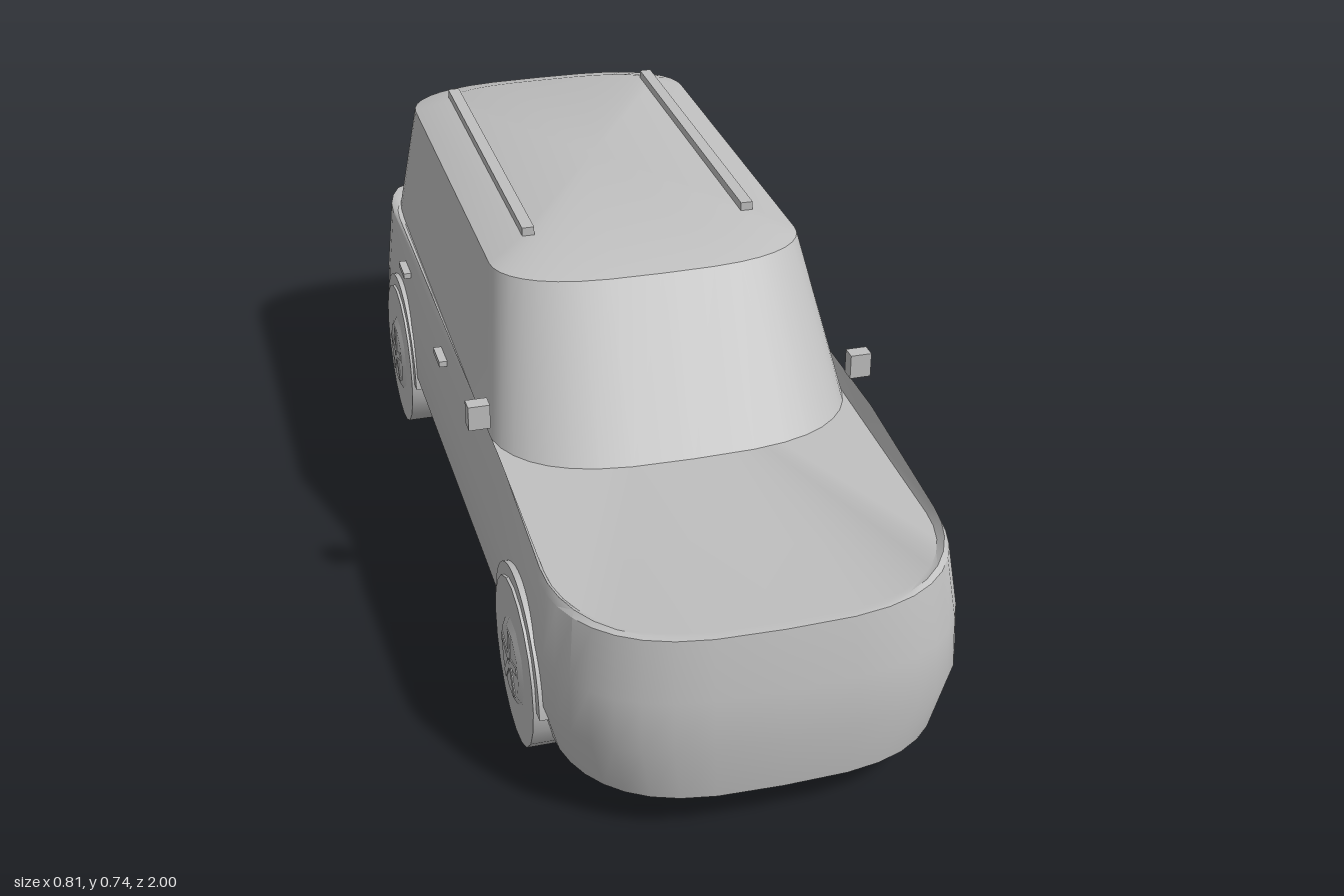
import * as THREE from 'three';
import { toCreasedNormals } from 'three/addons/utils/BufferGeometryUtils.js';

const paint = new THREE.MeshStandardMaterial({ color: 0xbfbfbf });
paint.name = 'plain grey';

function add(parent, name, geometry, x = 0, y = 0, z = 0) {
  const mesh = new THREE.Mesh(geometry, paint);
  mesh.name = name;
  mesh.position.set(x, y, z);
  parent.add(mesh);
  return mesh;
}

// Closed plan outline with softly rounded ends: w half width, f front z, r rear z, c corner depth
function outline({ w, f, r, c, y, mids = [] }) {
  const N = 9, half = [];
  for (let i = 0; i <= N; i++) {
    const t = (i / N) * Math.PI / 2;
    half.push([w * Math.sin(t) ** 0.625, f - c + c * Math.cos(t)]);
  }
  mids.forEach(z => half.push([w, z]));
  for (let i = N; i >= 0; i--) {
    const t = (i / N) * Math.PI / 2;
    half.push([w * Math.sin(t) ** 0.625, r + c - c * Math.cos(t)]);
  }
  const mirrored = half.slice(1, -1).reverse().map(([x, z]) => [-x, z]);
  return [...half, ...mirrored].map(([x, z]) => [x, typeof y === 'function' ? y(z) : y, z]);
}

// Skin stacked outlines and close both ends
function loft(specs, crease) {
  const rings = specs.map(outline), n = rings[0].length, pos = [];
  const tri = (...pts) => pts.forEach(p => pos.push(...p));
  for (let k = 0; k < rings.length - 1; k++) {
    const a = rings[k], b = rings[k + 1];
    for (let i = 0; i < n; i++) {
      const j = (i + 1) % n;
      tri(a[i], a[j], b[j]);
      tri(a[i], b[j], b[i]);
    }
  }
  const centre = ring => {
    const ys = ring.map(p => p[1]);
    return [0, (Math.min(...ys) + Math.max(...ys)) / 2, (ring[0][2] + ring[n / 2][2]) / 2];
  };
  const low = rings[0], top = rings[rings.length - 1], cl = centre(low), ct = centre(top);
  for (let i = 0; i < n; i++) {
    const j = (i + 1) % n;
    tri(cl, low[j], low[i]);
    tri(ct, top[i], top[j]);
  }
  const g = new THREE.BufferGeometry();
  g.setAttribute('position', new THREE.Float32BufferAttribute(pos, 3));
  return toCreasedNormals(g, crease);
}

function makeWheel(side, z) {
  const wheel = new THREE.Group();
  wheel.name = 'wheel';
  const tyre = new THREE.CylinderGeometry(0.158, 0.158, 0.105, 20).rotateZ(Math.PI / 2);
  add(wheel, 'tyre', toCreasedNormals(tyre, 0.6), 0.342);
  const hub = new THREE.CylinderGeometry(0.07, 0.085, 0.008, 10).rotateZ(-Math.PI / 2);
  add(wheel, 'hub', toCreasedNormals(hub, 0.4), 0.398);
  for (let i = 0; i < 5; i++) {
    const spoke = new THREE.BoxGeometry(0.006, 0.06, 0.016).translate(0, 0.035, 0);
    add(wheel, 'spoke', spoke, 0.401).rotation.x = i * Math.PI * 2 / 5;
  }
  // Half-ring flare over the tyre
  const flare = new THREE.Shape();
  flare.absarc(0, 0, 0.182, 0, Math.PI, false);
  flare.absarc(0, 0, 0.15, Math.PI, 0, true);
  const arch = new THREE.ExtrudeGeometry(flare, { depth: 0.05, bevelEnabled: false, curveSegments: 16 });
  arch.rotateY(Math.PI / 2);
  add(wheel, 'wheelArch', toCreasedNormals(arch, 0.6), 0.339);
  // Turn the whole wheel around for the right side
  wheel.rotation.y = side > 0 ? 0 : Math.PI;
  wheel.position.set(0, 0.16, z);
  return wheel;
}

export function createModel() {
  const car = new THREE.Group();
  car.name = 'car';

  // Lower body with a rising belt line and raised shoulders
  const belt = z => z < -0.85 ? 0.4545 + (z + 0.85) * 0.24 : 0.40 + (0.965 - z) * 0.03;
  const shoulder = z => z > 0.4 ? 0.455 - (z - 0.4) * 0.097 : 0.456;
  const hood = z => 0.40 + (0.965 - z) * 0.028;
  const mids = [0.4, -0.3];
  add(car, 'body', loft([
    { w: 0.355, f: 0.985, r: -0.985, c: 0.24, y: 0.08, mids },
    { w: 0.385, f: 0.998, r: -1, c: 0.24, y: 0.19, mids },
    { w: 0.383, f: 0.99, r: -0.995, c: 0.24, y: 0.29, mids },
    { w: 0.37, f: 0.967, r: -0.975, c: 0.24, y: belt, mids },
    { w: 0.364, f: 0.958, r: -0.922, c: 0.24, y: shoulder, mids },
    { w: 0.354, f: 0.948, r: -0.9, c: 0.24, y: hood, mids },
  ], 0.6));

  // Cabin tapering to a shallow roof
  add(car, 'cabin', loft([
    { w: 0.357, f: 0.435, r: -0.93, c: 0.19, y: 0.41 },
    { w: 0.309, f: 0.21, r: -0.845, c: 0.13, y: 0.697 },
    { w: 0.235, f: 0.11, r: -0.755, c: 0.07, y: 0.726 },
  ], 0.5));

  for (const s of [1, -1]) {
    add(car, 'roofRail', new THREE.BoxGeometry(0.024, 0.022, 0.75), s * 0.222, 0.732, -0.335);
    add(car, 'mirror', new THREE.BoxGeometry(0.042, 0.05, 0.03), s * 0.38, 0.485, 0.28);
    for (const z of [-0.113, -0.53]) {
      add(car, 'doorHandle', new THREE.BoxGeometry(0.024, 0.012, 0.065), s * 0.377, 0.4, z);
    }
    for (const z of [0.618, -0.592]) car.add(makeWheel(s, z));
  }
  return car;
}
